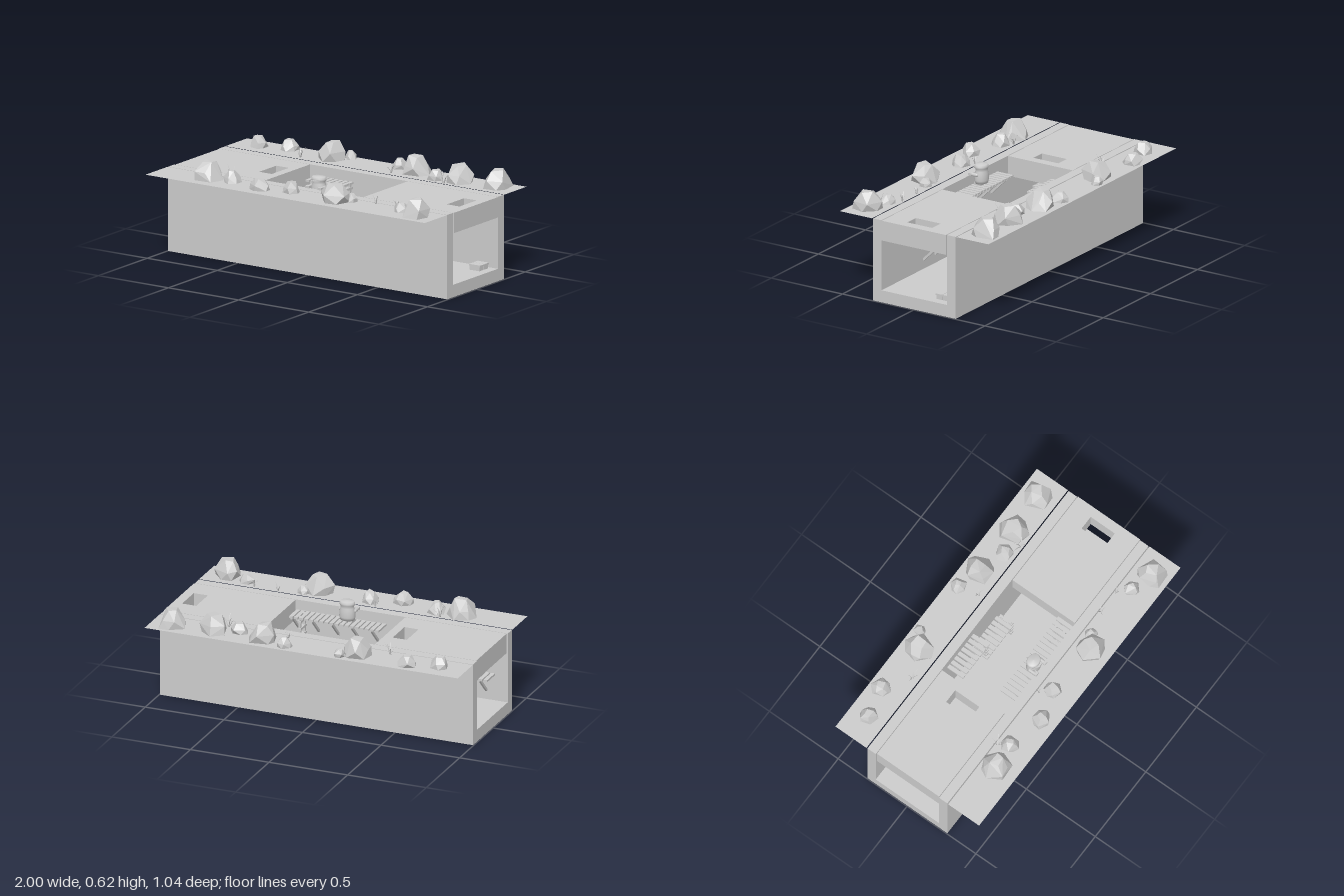
import * as THREE from 'three';
import { ConvexGeometry } from 'three/addons/geometries/ConvexGeometry.js';

const grey = new THREE.MeshStandardMaterial({ color: 0xcccccc });
const flat = new THREE.MeshStandardMaterial({ color: 0xcccccc, flatShading: true });
const thin = new THREE.MeshStandardMaterial({ color: 0xcccccc, side: THREE.DoubleSide });
const TOP = 0.51;

let seed = 7;
const rnd = () => (seed = (seed * 16807) % 2147483647) / 2147483647;

function add(parent, name, geo, x = 0, y = 0, z = 0, mat = grey) {
  const m = new THREE.Mesh(geo, mat);
  m.name = name;
  m.position.set(x, y, z);
  parent.add(m);
  return m;
}

// Box given by its low and high limits on each axis
const span = (parent, name, x0, x1, y0, y1, z0, z1) =>
  add(parent, name, new THREE.BoxGeometry(x1 - x0, y1 - y0, z1 - z0),
    (x0 + x1) / 2, (y0 + y1) / 2, (z0 + z1) / 2);

function group(parent, name) {
  const g = new THREE.Group();
  g.name = name;
  parent.add(g);
  return g;
}

// Roof slab with a rectangular shaft
function roofSlab(parent, x0, x1, h0, h1) {
  const rect = (P, a, b, c, d) => {
    const p = new P();
    p.moveTo(a, c); p.lineTo(b, c); p.lineTo(b, d); p.lineTo(a, d); p.closePath();
    return p;
  };
  const s = rect(THREE.Shape, x0, x1, -0.226, 0.226);
  s.holes.push(rect(THREE.Path, h0, h1, -0.085, 0.09));
  const geo = new THREE.ExtrudeGeometry(s, { depth: TOP - 0.387, bevelEnabled: false });
  geo.rotateX(-Math.PI / 2);
  add(parent, 'roofSlab', geo, 0, 0.387, 0);
}

// Plank walkway held by diagonal braces against the wall on the given side
function walkway(parent, x0, x1, y, side) {
  const g = group(parent, 'walkway');
  const n = Math.round((x1 - x0) / 0.033), pitch = (x1 - x0) / n;
  for (let i = 0; i < n; i++)
    add(g, 'plank', new THREE.BoxGeometry(0.024, 0.012, 0.115), x0 + (i + 0.5) * pitch, y - 0.006, side * 0.168);
  for (let x = x0 + 0.06; x < x1; x += 0.125) {
    add(g, 'joist', new THREE.BoxGeometry(0.012, 0.01, 0.11), x, y - 0.016, side * 0.17);
    const b = add(g, 'brace', new THREE.BoxGeometry(0.012, 0.145, 0.014), x, y - 0.065, side * 0.18);
    b.rotation.x = -side * Math.PI / 4;
  }
}

function ladder(parent, x, y0, y1, side) {
  const g = group(parent, 'ladder');
  for (const z of [0.135, 0.197])
    add(g, 'ladderRail', new THREE.BoxGeometry(0.014, y1 - y0, 0.016), x, (y0 + y1) / 2, side * z);
  for (let y = y0 + 0.035; y < y1; y += 0.045)
    add(g, 'rung', new THREE.BoxGeometry(0.022, 0.014, 0.092), x, y, side * 0.166);
}

// Faceted boulder: hull of three jittered rings
function boulder(parent, x, z, r, h) {
  const pts = [], turn = rnd() * 6;
  for (const [n, s, y] of [[6, 1, 0], [5, 0.95, 0.45], [4, 0.5, 0.97]])
    for (let i = 0; i < n; i++) {
      const a = turn + y * 2 + (i + rnd() * 0.5) / n * Math.PI * 2, k = s * r * (0.82 + rnd() * 0.3);
      pts.push(new THREE.Vector3(Math.cos(a) * k, h * y * (y ? 0.92 + rnd() * 0.12 : 1), Math.sin(a) * k));
    }
  add(parent, 'boulder', new ConvexGeometry(pts), x, TOP, z, flat);
}

function grassTuft(parent, x, z, h) {
  const g = group(parent, 'grassTuft');
  for (let i = 0; i < 5; i++) {
    const a = i * 1.26 + rnd(), d = h * (0.35 + rnd() * 0.35), t = h * (0.6 + rnd() * 0.4);
    const c = Math.cos(a), s = Math.sin(a) * 0.7, pos = [];
    for (const [k, y, w] of [[0.1, 0, 0.004], [0.4, 0.6, 0.003], [1, 1, 0.0004]])
      pos.push(c * d * k - s * w, t * y, s * d * k + c * w, c * d * k + s * w, t * y, s * d * k - c * w);
    const geo = new THREE.BufferGeometry();
    geo.setAttribute('position', new THREE.Float32BufferAttribute(pos, 3));
    geo.setIndex([0, 1, 2, 1, 3, 2, 2, 3, 4, 3, 5, 4]);
    geo.computeVertexNormals();
    add(g, 'grassBlade', geo, x, TOP, z, thin);
  }
}

function lantern(parent, x) {
  const g = group(parent, 'lantern');
  g.position.set(x, 0, 0);
  add(g, 'hook', new THREE.TorusGeometry(0.008, 0.0015, 6, 12), 0, 0.377, 0).rotation.y = Math.PI / 2;
  add(g, 'lanternCap', new THREE.ConeGeometry(0.021, 0.016, 8), 0, 0.363, 0);
  add(g, 'lanternBody', new THREE.CylinderGeometry(0.018, 0.015, 0.036, 8), 0, 0.337, 0);
}

// Helmeted lookout leaning on the front wall
function lookout(parent) {
  const g = group(parent, 'lookout');
  g.position.set(0.004, 0.45, 0.183);
  for (const s of [-1, 1]) {
    add(g, 'boot', new THREE.BoxGeometry(0.03, 0.02, 0.045), s * 0.022, 0.01, 0.006);
    const arm = add(g, 'arm', new THREE.CapsuleGeometry(0.011, 0.035, 4, 8), s * 0.045, 0.066, 0.022);
    arm.rotation.x = Math.PI / 2;
    add(g, 'hand', new THREE.BoxGeometry(0.026, 0.014, 0.026), s * 0.043, 0.067, 0.046);
  }
  const body = [[0, 0.01], [0.036, 0.01], [0.041, 0.03], [0.039, 0.07], [0.034, 0.085], [0.034, 0.1],
    [0.039, 0.104], [0.039, 0.115], [0.034, 0.126], [0, 0.13]].map(p => new THREE.Vector2(...p));
  add(g, 'bodyAndHelmet', new THREE.LatheGeometry(body, 20), 0, 0, -0.001).scale.x = 1.2;
  add(g, 'visor', new THREE.CylinderGeometry(0.03, 0.03, 0.008, 16), 0, 0.104, 0.019);
}

export function createModel() {
  const root = new THREE.Group();
  root.name = 'trench';

  // Concrete shell
  const shell = group(root, 'shell');
  span(shell, 'floor', -0.996, 0.994, 0, 0.075, -0.29, 0.29);
  for (const s of [-1, 1]) {
    const z = s * 0.26;
    span(shell, 'sideWall', -0.996, 0.994, 0, TOP, z - 0.03, z + 0.03);
    const ground = add(root, 'groundStrip', new THREE.PlaneGeometry(1.993, 0.225), -0.001, TOP, s * 0.409, thin);
    ground.rotation.x = -Math.PI / 2;
  }
  roofSlab(shell, -0.99, -0.345, -0.49, -0.4);
  roofSlab(shell, 0.352, 0.998, 0.85, 0.94);

  // Walkways and ladders inside
  walkway(root, -0.23, 0.35, 0.45, 1);
  walkway(root, 0.24, 0.6, 0.247, 1);
  walkway(root, -0.92, -0.6, 0.247, 1);
  walkway(root, -0.3, -0.03, 0.45, -1);
  walkway(root, -0.06, 0.2, 0.247, -1);
  ladder(root, 0.285, 0.247, 0.45, 1);
  ladder(root, -0.04, 0.247, 0.45, -1);
  ladder(root, 0.205, 0.075, 0.26, -1);

  // Low bench made of two boxes with lids
  for (const z of [-0.14, -0.186]) {
    span(root, 'crate', 0.87, 0.94, 0.075, 0.1, z - 0.021, z + 0.021);
    span(root, 'crateLid', 0.865, 0.945, 0.1, 0.11, z - 0.022, z + 0.022);
  }
  for (const x of [-0.65, 0.65]) lantern(root, x);
  lookout(root);

  // Boulders (x, z, radius, height) and grass
  [[-0.83, -0.4, 0.055, 0.07], [-0.645, -0.45, 0.06, 0.065], [-0.31, -0.42, 0.09, 0.11],
    [-0.225, -0.475, 0.038, 0.05], [0.135, -0.46, 0.048, 0.06], [0.28, -0.42, 0.088, 0.11],
    [0.46, -0.36, 0.055, 0.06], [0.6, -0.4, 0.088, 0.115], [0.86, -0.42, 0.09, 0.11],
    [-0.64, 0.385, 0.088, 0.115], [-0.485, 0.37, 0.056, 0.07], [-0.25, 0.425, 0.058, 0.07],
    [-0.06, 0.37, 0.055, 0.07], [0.27, 0.4, 0.09, 0.11], [0.35, 0.345, 0.038, 0.05],
    [0.72, 0.37, 0.05, 0.055], [0.86, 0.415, 0.085, 0.11]].forEach(b => boulder(root, ...b));
  [[-0.49, -0.335, 0.085], [0.16, -0.335, 0.06], [0.55, -0.31, 0.09], [-0.53, 0.31, 0.08],
    [-0.12, 0.31, 0.05], [0.5, 0.31, 0.06], [0.65, 0.31, 0.06]].forEach(t => grassTuft(root, ...t));
  return root;
}
